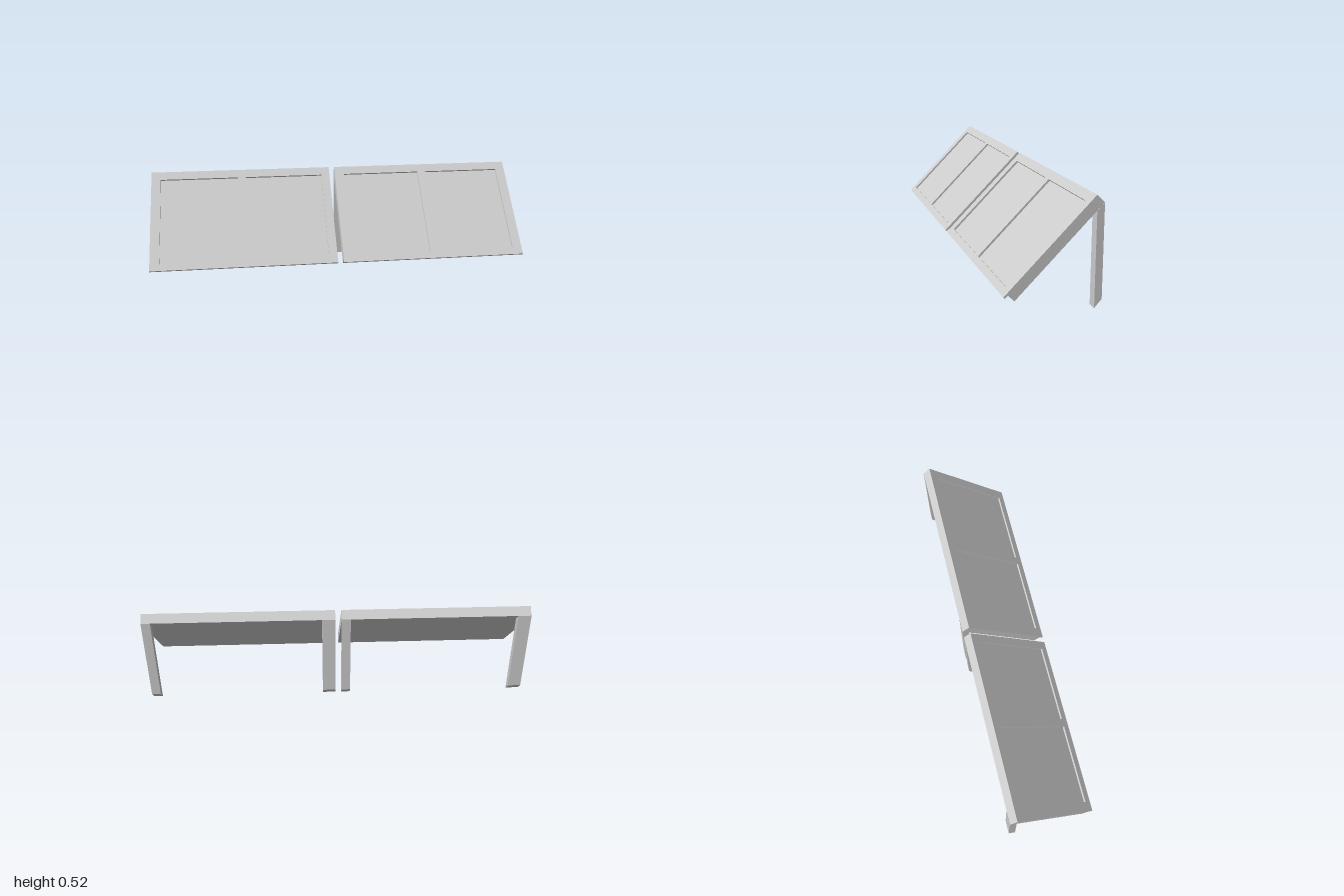
import * as THREE from 'three';

const material = new THREE.MeshStandardMaterial({ color: 0xcccccc, flatShading: true });

const LENGTH = 0.59; // along the slope
const THICK = 0.0516;
const SKIN = 0.01; // depth of the recesses and of the front lip
const LIP = 0.019; // overhang of the top skin at the low edge

function rectPath(PathType, x0, x1, y0, y1) {
  return new PathType([
    new THREE.Vector2(x0, y0), new THREE.Vector2(x1, y0),
    new THREE.Vector2(x1, y1), new THREE.Vector2(x0, y1),
  ]);
}

// Sloping slab: a solid base under a thin skin with two window openings
function makePanel(x0, x1, windows) {
  const panel = new THREE.Group();
  panel.name = 'panel';

  const shape = rectPath(THREE.Shape, x0, x1, 0, LENGTH);
  for (const [a, b] of windows) shape.holes.push(rectPath(THREE.Path, a, b, 0.038, 0.542));
  const frame = new THREE.Mesh(
    new THREE.ExtrudeGeometry(shape, { depth: SKIN, bevelEnabled: false }), material);
  frame.name = 'panelFrame';
  frame.position.z = -SKIN;

  const base = new THREE.Mesh(
    new THREE.BoxGeometry(x1 - x0, LENGTH - LIP, THICK - SKIN), material);
  base.name = 'panelBase';
  base.position.set((x0 + x1) / 2, (LENGTH + LIP) / 2, -(THICK + SKIN) / 2);

  panel.add(frame, base);
  panel.rotation.x = -Math.PI / 4;
  panel.position.set(0, 0.1, 0.23);
  return panel;
}

// Back leg with slanted ends, profile in (z, y), extruded across x
function makeLeg(x0, x1) {
  const profile = new THREE.Shape([
    new THREE.Vector2(-0.228, 0.04), new THREE.Vector2(-0.193, 0),
    new THREE.Vector2(-0.19, 0.446), new THREE.Vector2(-0.2245, 0.481),
  ]);
  const leg = new THREE.Mesh(
    new THREE.ExtrudeGeometry(profile, { depth: x1 - x0, bevelEnabled: false }), material);
  leg.name = 'backLeg';
  leg.rotation.y = -Math.PI / 2;
  leg.position.x = x1;
  return leg;
}

export function createModel() {
  const model = new THREE.Group();
  model.name = 'slopedPanelPair';
  const units = [
    { name: 'rightUnit', x: [-1, -0.02], windows: [[-0.95, -0.53], [-0.487, -0.065]] },
    { name: 'leftUnit', x: [0.012, 1], windows: [[0.063, 0.487], [0.53, 0.95]] },
  ];
  for (const { name, x: [x0, x1], windows } of units) {
    const unit = new THREE.Group();
    unit.name = name;
    unit.add(makePanel(x0, x1, windows), makeLeg(x0, x0 + 0.068), makeLeg(x1 - 0.047, x1));
    model.add(unit);
  }
  return model;
}
